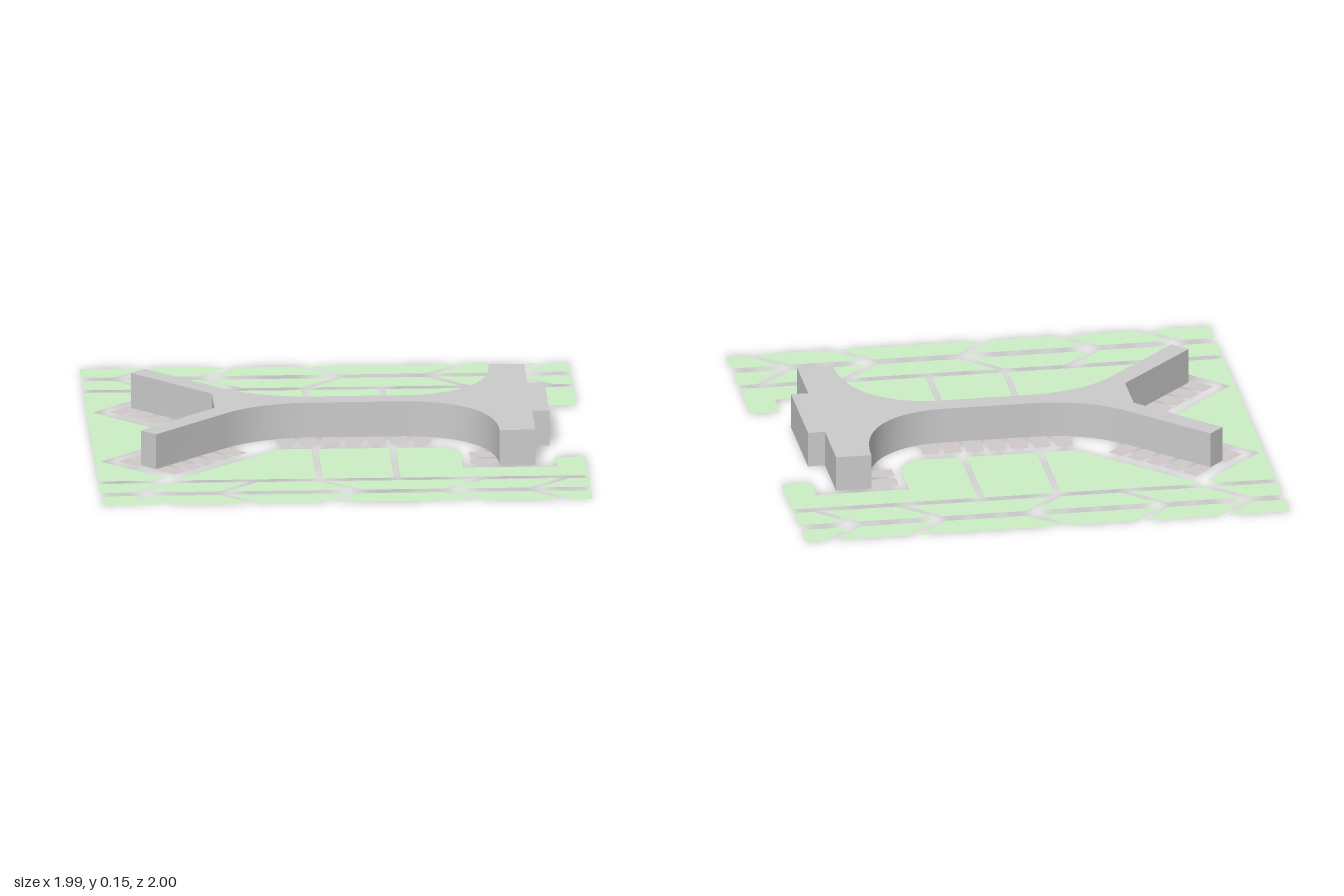
import * as THREE from 'three';
import { toCreasedNormals } from 'three/addons/utils/BufferGeometryUtils.js';

const HEIGHT = 0.147;
const material = (color) => new THREE.MeshStandardMaterial({ color, side: THREE.DoubleSide });

// Flat horizontal polygon from [x, z] corners
function flatGeometry(points) {
  const shape = new THREE.Shape(points.map(([x, z]) => new THREE.Vector2(x, -z)));
  return new THREE.ShapeGeometry(shape).rotateX(-Math.PI / 2);
}

const mirrorZ = (points) => points.map(([x, z]) => [x, -z]).reverse();

// Upright walls along a closed outline
function wallGeometry(outline) {
  const positions = [];
  outline.forEach(([ax, az], i) => {
    const [bx, bz] = outline[(i + 1) % outline.length];
    positions.push(bx, 0, bz, ax, 0, az, ax, HEIGHT, az);
    positions.push(bx, 0, bz, ax, HEIGHT, az, bx, HEIGHT, bz);
  });
  const geometry = new THREE.BufferGeometry();
  geometry.setAttribute('position', new THREE.Float32BufferAttribute(positions, 3));
  geometry.computeVertexNormals();
  return toCreasedNormals(geometry, 0.5);
}

export function createModel() {
  const model = new THREE.Group();
  const grey = material(0xcccccc);
  const green = material(0xcbefc5);
  const paving = material(0xcfc9c9);

  function add(parent, name, geometry, mat) {
    const mesh = new THREE.Mesh(geometry, mat);
    mesh.name = name;
    parent.add(mesh);
    return mesh;
  }
  function addGroup(name) {
    const group = new THREE.Group();
    group.name = name;
    model.add(group);
    return group;
  }

  // Terminal: back half of the outline, mirrored to the front
  const half = new THREE.Path();
  half.moveTo(-0.504, -0.105);
  half.lineTo(-0.817, -0.422);
  half.lineTo(-0.758, -0.482);
  half.lineTo(-0.47, -0.195);
  half.quadraticCurveTo(-0.325, -0.045, -0.09, -0.045);
  half.lineTo(0.26, -0.045);
  half.bezierCurveTo(0.468, -0.045, 0.637, -0.18, 0.637, -0.484);
  half.lineTo(0.782, -0.484);
  half.lineTo(0.782, -0.209);
  half.lineTo(0.852, -0.209);
  const halfPoints = half.getPoints(16).map((p) => [p.x, p.y]);
  const outline = [...halfPoints, ...mirrorZ(halfPoints)];
  const terminal = addGroup('terminalBuilding');
  add(terminal, 'walls', wallGeometry(outline), grey);
  add(terminal, 'roof', flatGeometry(outline), grey).position.y = HEIGHT;

  // Lawns, given for the back half and mirrored to the front
  const lawns = addGroup('lawns');
  function addLawn(points) {
    add(lawns, 'lawn', flatGeometry(points), green);
    add(lawns, 'lawn', flatGeometry(mirrorZ(points)), green);
  }
  addLawn([[-0.695, -0.652], [-0.115, -0.652], [-0.115, -0.215], [-0.25, -0.215]]);
  addLawn([[-0.088, -0.652], [0.2, -0.652], [0.2, -0.215], [-0.088, -0.215]]);
  addLawn([[0.227, -0.652], [0.99, -0.652], [0.99, -0.38], [0.868, -0.38], [0.868, -0.515],
    [0.487, -0.515], [0.487, -0.284], [0.418, -0.215], [0.227, -0.215]]);
  const endLawn = [[-1, -0.652], [-0.76, -0.652], [-0.725, -0.615], [-0.977, -0.36], [-0.655, -0.035]];
  add(lawns, 'endLawn', flatGeometry([...endLawn, ...mirrorZ(endLawn)]), green);

  // Runway strips, cut by slanted taxiways
  const outer = [-0.72, -0.376, -0.09, 0.547, 0.893];
  const inner = [-0.845, -0.5, 0.04, 0.419, 0.765];
  const gap = 0.02;
  function addStrip(z0, z1, cuts0, cuts1) {
    for (let i = 0; i <= cuts0.length; i++) {
      const left = (cuts) => (i === 0 ? -1 : cuts[i - 1] + gap);
      const right = (cuts) => (i === cuts.length ? 0.99 : cuts[i] - gap);
      addLawn([[left(cuts0), z0], [right(cuts0), z0], [right(cuts1), z1], [left(cuts1), z1]]);
    }
  }
  addStrip(-1, -0.873, outer, inner);
  addStrip(-0.822, -0.69, inner, outer);

  // Aircraft stands along the pier, arms and head
  const stands = addGroup('aircraftStands');
  const WIDTH = 0.071, DEPTH = 0.115, STEP = 0.0915;
  function addStand(x, z, width, depth, angle = 0) {
    for (const side of [1, -1]) {
      const stand = add(stands, 'stand', new THREE.PlaneGeometry(width, depth).rotateX(-Math.PI / 2), paving);
      stand.position.set(x, 0, z * side);
      stand.rotation.y = angle * side;
    }
  }
  for (let i = 0; i < 7; i++) addStand(-0.212 + i * STEP, -0.103, WIDTH, DEPTH);
  // Each arm row: start along the arm and offset across it
  for (const [start, across] of [[-0.85, -0.1405], [-0.864, -0.328]]) {
    for (let i = 0; i < 5; i++) {
      const along = start + i * STEP;
      addStand((along + across) * Math.SQRT1_2, (along - across) * Math.SQRT1_2, WIDTH, DEPTH, -Math.PI / 4);
    }
  }
  for (const z of [-0.426, -0.33]) addStand(0.579, z, DEPTH, 0.074);

  return model;
}
